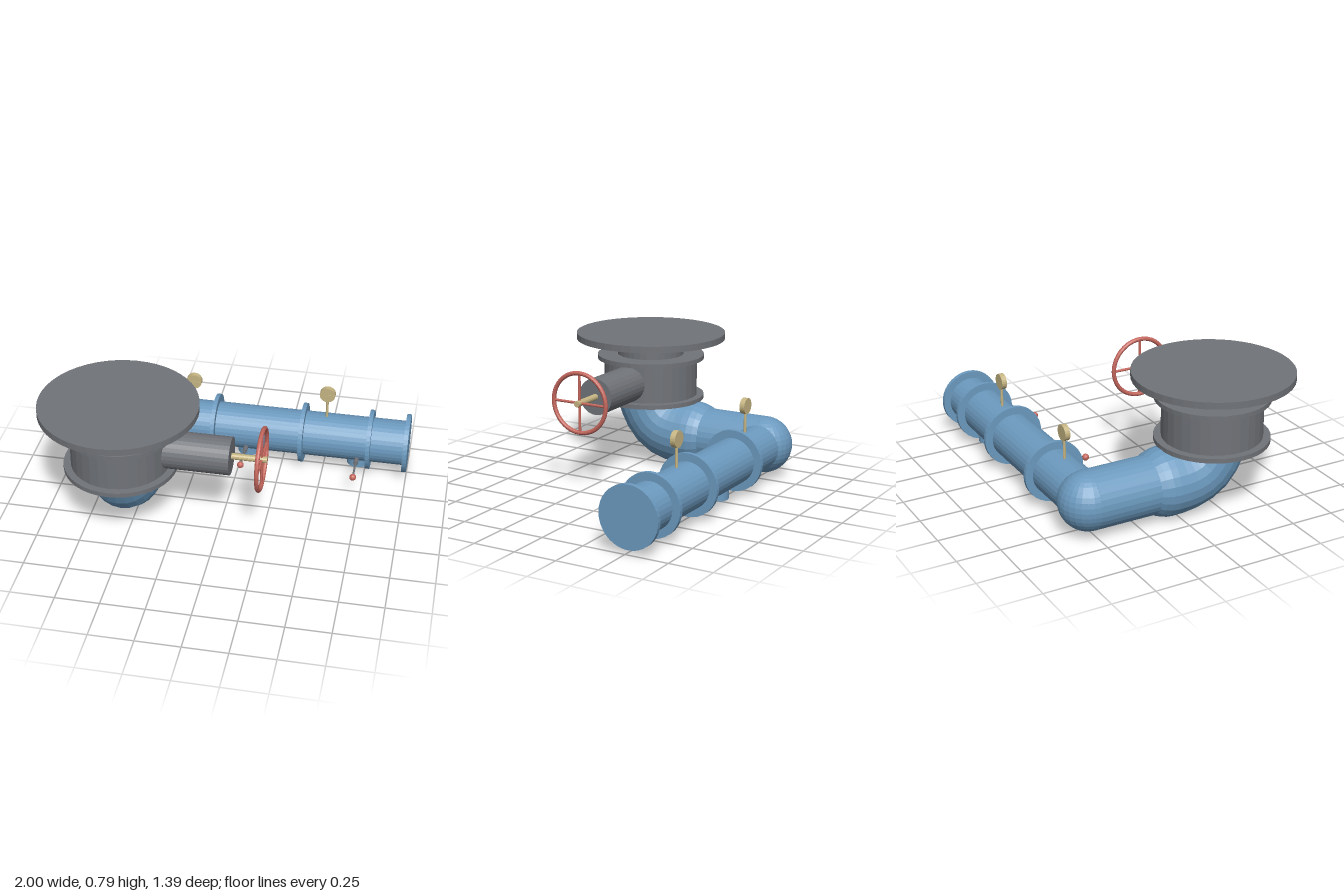
import * as THREE from 'three';

const flat = (name, color) => {
  const m = new THREE.MeshStandardMaterial({ color, flatShading: true });
  m.name = name;
  return m;
};

export function createModel() {
  const blue = flat('pipeBlue', 0x6c9abf);
  const grey = flat('castGrey', 0x707378);
  const red = flat('handleRed', 0xc4675d);
  const brass = flat('brass', 0xc6b583);
  const model = new THREE.Group();

  const add = (name, geo, mat, x = 0, y = 0, z = 0, parent = model) => {
    const mesh = new THREE.Mesh(geo, mat);
    mesh.name = name;
    mesh.position.set(x, y, z);
    parent.add(mesh);
    return mesh;
  };
  // Cylinder running along one axis between two coordinates; a and b are the other two, in xyz order
  const rod = (name, mat, axis, r, from, to, a, b, sides = 32, parent = model) => {
    const geo = new THREE.CylinderGeometry(r, r, to - from, sides);
    const mid = (from + to) / 2;
    if (axis === 'x') return add(name, geo.rotateZ(-Math.PI / 2), mat, mid, a, b, parent);
    if (axis === 'z') return add(name, geo.rotateX(Math.PI / 2), mat, a, b, mid, parent);
    return add(name, geo, mat, a, mid, b, parent);
  };

  const VX = -0.555, VZ = 0.25;   // valve axis
  const PY = 0.203, PZ = -0.518;  // long pipe axis

  // Valve body with flanges
  const valve = new THREE.Group();
  valve.name = 'valve';
  model.add(valve);
  rod('topDisc', grey, 'y', 0.445, 0.755, 0.793, VX, VZ, 48, valve);
  rod('neck', grey, 'y', 0.198, 0.65, 0.76, VX, VZ, 32, valve);
  rod('upperFlange', grey, 'y', 0.32, 0.634, 0.66, VX, VZ, 40, valve);
  rod('valveBody', grey, 'y', 0.279, 0.4, 0.65, VX, VZ, 32, valve);
  rod('lowerFlange', grey, 'y', 0.32, 0.389, 0.415, VX, VZ, 40, valve);
  rod('bonnet', grey, 'x', 0.107, VX, 0.075, 0.523, VZ, 28, valve);
  rod('stem', brass, 'x', 0.018, 0.07, 0.273, 0.523, VZ, 12, valve);

  // Hand wheel
  const wheel = new THREE.Group();
  wheel.name = 'handWheel';
  wheel.position.set(0.242, 0.523, VZ);
  model.add(wheel);
  add('rim', new THREE.TorusGeometry(0.172, 0.0125, 10, 40).rotateY(Math.PI / 2), red, 0, 0, 0, wheel);
  rod('verticalSpoke', red, 'y', 0.008, -0.17, 0.17, 0, 0, 8, wheel);
  rod('crossSpoke', red, 'z', 0.008, -0.17, 0.17, 0, 0, 8, wheel);

  // Swept elbow under the valve, capped at its mouth and rounded at its far end
  const path = new THREE.CubicBezierCurve3(
    new THREE.Vector3(VX, 0.41, 0.26), new THREE.Vector3(VX, 0.26, 0.205),
    new THREE.Vector3(VX, 0.2, 0.15), new THREE.Vector3(VX, 0.2, -0.05));
  const R = 0.195;
  add('elbow', new THREE.TubeGeometry(path, 7, R, 24), blue);
  const mouth = add('elbowMouth', new THREE.CircleGeometry(R, 24), blue, VX, 0.41, 0.26);
  mouth.lookAt(path.getPoint(0).sub(path.getTangent(0)));
  add('elbowEnd', new THREE.SphereGeometry(R, 24, 16).rotateX(Math.PI / 2), blue, VX, 0.2, -0.05);

  // Connecting pipe and corner ball
  rod('connectingPipe', blue, 'z', 0.165, -0.515, -0.05, VX, 0.2);
  add('cornerBall', new THREE.SphereGeometry(0.165, 28, 18), blue, VX, 0.2, -0.515);

  // Long pipe with collars and a closed end flange
  rod('longPipe', blue, 'x', 0.132, VX, 0.985, PY, PZ);
  for (const x of [-0.159, 0.37, 0.77]) rod('collar', blue, 'x', 0.177, x - 0.012, x + 0.012, PY, PZ, 36);
  rod('endFlange', blue, 'x', 0.173, 0.974, 1, PY, PZ, 36);

  // Gauges on top of the long pipe
  for (const x of [-0.295, 0.505]) {
    rod('gaugeStem', brass, 'y', 0.008, 0.32, 0.46, x, PZ, 10);
    rod('gaugeDial', brass, 'z', 0.046, PZ - 0.015, PZ + 0.015, x, 0.489, 24);
    add('gaugeNeedle', new THREE.BoxGeometry(0.038, 0.004, 0.004), brass, x + 0.018, 0.489, PZ + 0.016);
  }

  // Drain outlets below with their levers in front
  for (const x of [0.04, 0.705]) {
    rod('drainOutlet', blue, 'y', 0.066, 0.036, 0.14, x, PZ, 24);
    rod('leverSocket', grey, 'z', 0.014, -0.43, -0.355, x, 0.13, 12);
    rod('leverRod', grey, 'z', 0.006, -0.36, -0.22, x, 0.13, 10);
    add('leverKnob', new THREE.SphereGeometry(0.02, 14, 10), red, x, 0.13, -0.217);
  }
  return model;
}
